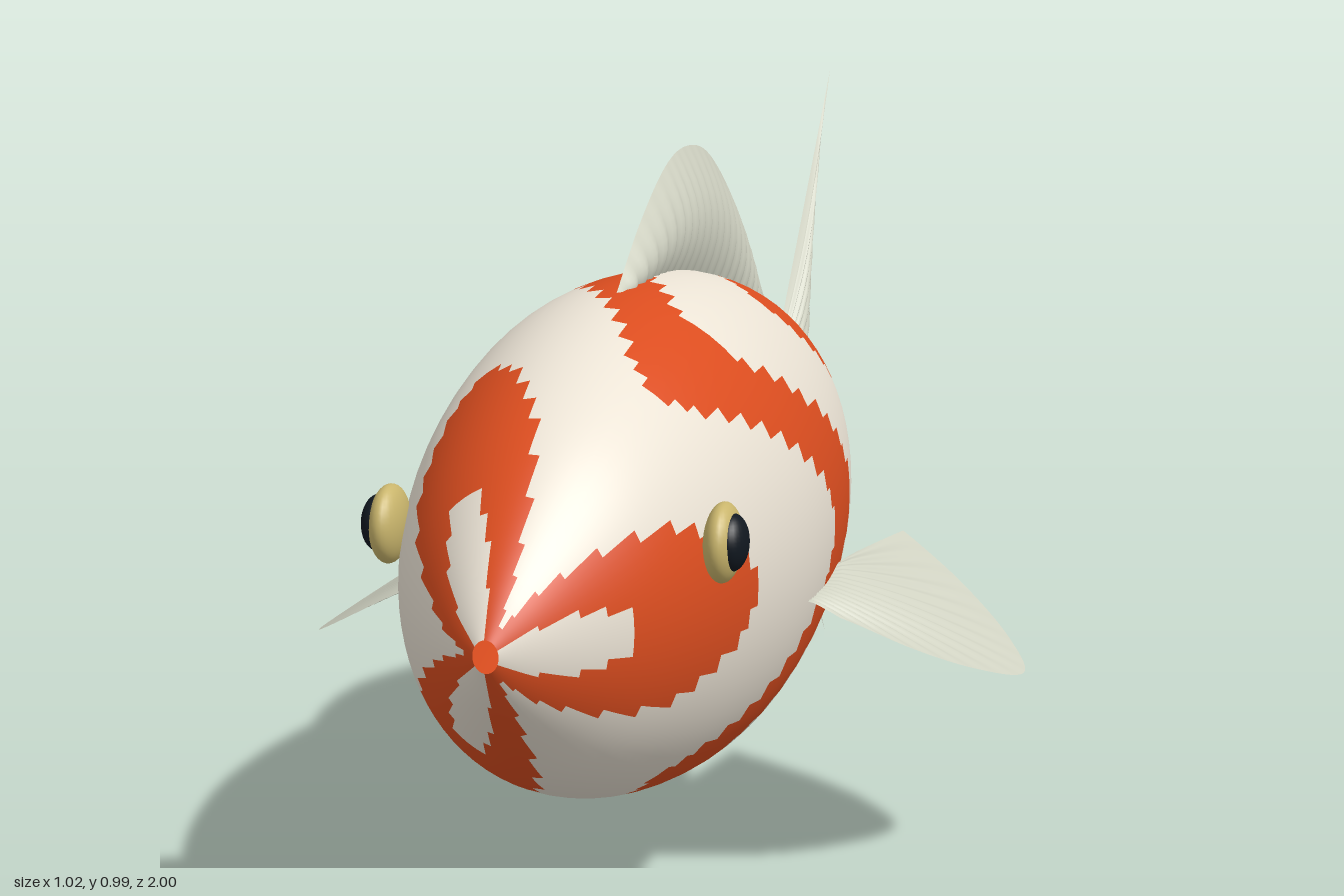
import * as THREE from 'three';

const V = (x, y, z) => new THREE.Vector3(x, y, z);
const material = (color, side = THREE.FrontSide) => new THREE.MeshStandardMaterial({ color, side });
const curve = (points) => new THREE.CatmullRomCurve3(points.map((p) => V(...p)));

// Grid surface: point(u, v) sampled on nu x nv cells
function gridGeometry(point, nu, nv) {
  const pos = [], index = [];
  for (let i = 0; i <= nu; i++) {
    for (let j = 0; j <= nv; j++) pos.push(...point(i / nu, j / nv).toArray());
  }
  for (let i = 0; i < nu; i++) {
    for (let j = 0; j < nv; j++) {
      const a = i * (nv + 1) + j, b = a + nv + 1;
      index.push(a, b, a + 1, b, b + 1, a + 1);
    }
  }
  const geo = new THREE.BufferGeometry();
  geo.setAttribute('position', new THREE.Float32BufferAttribute(pos, 3));
  geo.setIndex(index);
  geo.computeVertexNormals();
  return geo;
}

// Thin fin stretched from a base curve to an edge curve, bowed sideways and rippled along its rays
function fin(name, base, edge, mat, bow, rays, shape = (p) => p) {
  const geo = gridGeometry((u, v) => {
    const p = base.getPoint(u).lerp(edge.getPoint(u), v);
    p.x += Math.sin(Math.PI * v) * Math.sin(Math.PI * u) ** 0.5 * bow;
    p.x += 0.0025 * v * (1 - v) * 4 * Math.sin(u * rays * Math.PI * 2);
    return shape(p);
  }, rays * 5, 10);
  const mesh = new THREE.Mesh(geo, mat);
  mesh.name = name;
  return mesh;
}

// Elliptical body with open ends; cells are sorted into pale skin and orange bands
function createBody() {
  const profile = curve([
    [0.02, 0, 1], [0.07, 0, 0.965], [0.145, 0, 0.89], [0.222, 0, 0.785], [0.287, 0, 0.63],
    [0.325, 0, 0.46], [0.335, 0, 0.32], [0.318, 0, 0.11], [0.27, 0, -0.1],
    [0.195, 0, -0.28], [0.105, 0, -0.45], [0.06, 0, -0.515], [0.022, 0, -0.54],
  ]);
  const rings = 80, sides = 72, pos = [], zs = [];
  for (let i = 0; i <= rings; i++) {
    const p = profile.getPointAt(i / rings);
    zs.push(p.z);
    for (let j = 0; j < sides; j++) {
      const t = (j / sides) * Math.PI * 2;
      pos.push(Math.cos(t) * p.x * 0.79, 0.5 + Math.sin(t) * p.x, p.z);
    }
  }
  // Wavy bands: three lobes around the body, repeated along its length
  const bands = [[0.915, 0.12], [0.355, 0.1], [-0.185, 0.1], [-0.72, 0.1]];
  const skin = [], orange = [];
  for (let i = 0; i < rings; i++) {
    for (let j = 0; j < sides; j++) {
      const c = (zs[i] + zs[i + 1]) / 2 + 0.19 * Math.cos(3 * ((j + 0.5) / sides) * Math.PI * 2);
      const list = bands.some(([mid, half]) => Math.abs(c - mid) < half) ? orange : skin;
      const a = i * sides + j, d = i * sides + (j + 1) % sides;
      list.push(a, a + sides, d, a + sides, d + sides, d);
    }
  }
  const whole = new THREE.BufferGeometry();
  whole.setAttribute('position', new THREE.Float32BufferAttribute(pos, 3));
  whole.setIndex([...skin, ...orange]);
  whole.computeVertexNormals();

  const body = new THREE.Group();
  body.name = 'body';
  for (const [name, index, color] of [['paleSkin', skin, 0xebe3d5], ['orangeBands', orange, 0xdb4d1f]]) {
    const geo = whole.clone();
    geo.setIndex(index);
    const mesh = new THREE.Mesh(geo, material(color, THREE.DoubleSide));
    mesh.name = name;
    body.add(mesh);
  }
  return body;
}

// Flattened eyeball with a dark pupil bulging outward
function createEye(side) {
  const eye = new THREE.Group();
  eye.name = side > 0 ? 'leftEye' : 'rightEye';
  const ball = (name, color, position, scale) => {
    const mesh = new THREE.Mesh(new THREE.SphereGeometry(1, 28, 20), material(color));
    mesh.name = name;
    mesh.position.set(...position);
    mesh.scale.set(...scale);
    eye.add(mesh);
  };
  ball('iris', 0xc9b56c, [side * 0.213, 0.58, 0.71], [0.023, 0.05, 0.05]);
  ball('pupil', 0x111820, [side * 0.225, 0.582, 0.716], [0.021, 0.036, 0.034]);
  return eye;
}

export function createModel() {
  const model = new THREE.Group();
  model.name = 'fish';
  const finMat = material(0xd0d2c2, THREE.DoubleSide);

  model.add(createBody(), createEye(1), createEye(-1));

  // Fins on the centre line
  model.add(fin('dorsalFin',
    curve([[0, 0.815, 0.42], [0, 0.79, 0.15], [0, 0.72, -0.12], [0, 0.63, -0.36]]),
    curve([[0, 0.825, 0.42], [0, 0.905, 0.29], [0, 0.965, 0.15], [0, 0.98, 0.05],
      [0, 0.963, -0.08], [0, 0.89, -0.23], [0, 0.785, -0.37], [0, 0.67, -0.5]]),
    finMat, 0.035, 22));
  model.add(fin('analFin',
    curve([[0, 0.21, 0.1], [0, 0.27, -0.12], [0, 0.37, -0.38]]),
    curve([[0, 0.19, 0.1], [0, 0.12, -0.04], [0, 0.092, -0.17], [0, 0.125, -0.31],
      [0, 0.21, -0.45], [0, 0.33, -0.61]]),
    finMat, 0.03, 16));
  model.add(fin('tailFin',
    curve([[0, 0.535, -0.525], [0, 0.5, -0.525], [0, 0.465, -0.525]]),
    curve([[0, 0.995, -1], [0, 0.87, -0.89], [0, 0.75, -0.815], [0, 0.62, -0.768], [0, 0.5, -0.752],
      [0, 0.38, -0.768], [0, 0.25, -0.815], [0, 0.13, -0.89], [0, 0.005, -1]]),
    finMat, 0.035, 16));

  // Paired side fins, drooping outward
  const droop = (p) => {
    p.y = 0.43 - 0.145 * (Math.max(0, p.x - 0.26) / 0.25) ** 1.15;
    return p;
  };
  for (const side of [1, -1]) {
    const mesh = fin(side > 0 ? 'leftPectoralFin' : 'rightPectoralFin',
      curve([[0.235, 0, 0.4], [0.245, 0, 0.31], [0.25, 0, 0.2]]),
      curve([[0.3, 0, 0.408], [0.385, 0, 0.36], [0.46, 0, 0.275], [0.51, 0, 0.16],
        [0.475, 0, 0.07], [0.4, 0, -0.015], [0.295, 0, -0.09]]),
      finMat, 0, 14, droop);
    // Ripple the surface lightly before mirroring
    const pos = mesh.geometry.attributes.position;
    for (let i = 0; i < pos.count; i++) {
      const u = Math.floor(i / 11) / 70, v = (i % 11) / 10;
      pos.setY(i, pos.getY(i) + 0.003 * Math.sin(u * 28 * Math.PI) * v * (1 - v) * 4);
    }
    mesh.geometry.computeVertexNormals();
    mesh.scale.x = side;
    model.add(mesh);
  }
  return model;
}
